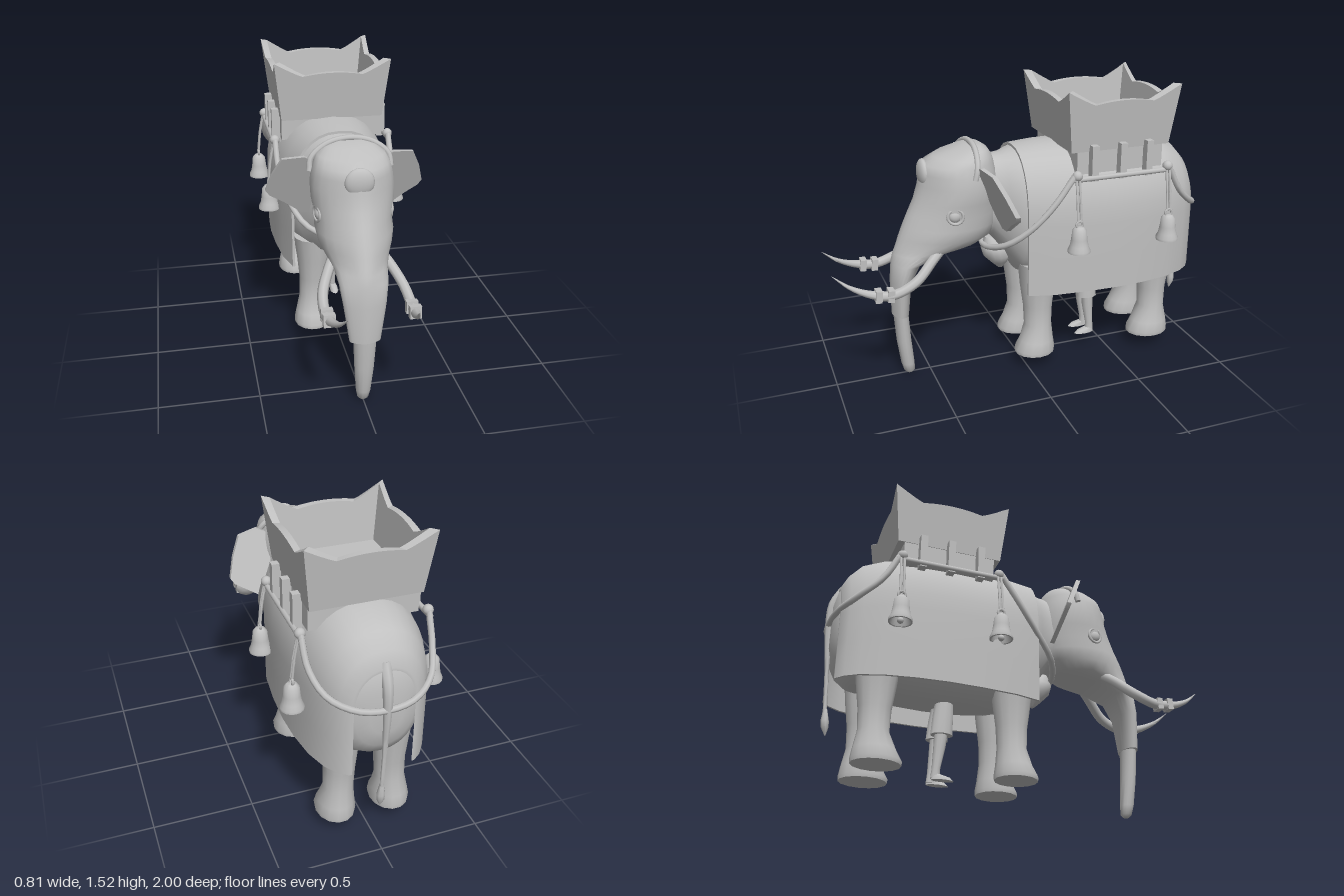
import * as THREE from 'three';
import { toCreasedNormals } from 'three/addons/utils/BufferGeometryUtils.js';

const grey = new THREE.MeshStandardMaterial({ color: 0xc0c0c0 });
grey.name = 'grey';
const V = (x, y, z) => new THREE.Vector3(x, y, z);
const pow = (v, e) => Math.sign(v) * Math.abs(v) ** e;

// Closed skin over a row of rings with equal point counts, capped at both ends
function loft(rings, crease = 0.9) {
  const n = rings[0].length, m = rings.length, pts = rings.flat(), idx = [];
  const quad = (a, b, c, d) => idx.push(a, b, c, a, c, d);
  for (let j = 0; j < m - 1; j++) {
    for (let i = 0; i < n; i++) {
      const k = (i + 1) % n;
      quad(j * n + i, j * n + k, (j + 1) * n + k, (j + 1) * n + i);
    }
  }
  const e = (m - 1) * n;
  for (let i = 0; i < n / 2 - 1; i++) {
    quad(i + 1, i, n - 1 - i, n - 2 - i);
    quad(e + i, e + i + 1, e + n - 2 - i, e + n - 1 - i);
  }
  // Turn the skin outward when its signed volume is negative
  let volume = 0;
  const cross = V(0, 0, 0);
  for (let t = 0; t < idx.length; t += 3) {
    volume += pts[idx[t]].dot(cross.crossVectors(pts[idx[t + 1]], pts[idx[t + 2]]));
  }
  if (volume < 0) idx.reverse();
  const geo = new THREE.BufferGeometry().setFromPoints(pts);
  geo.setIndex(idx);
  return toCreasedNormals(geo, crease);
}

// Vertical limb from sections [y, x, z, halfWidth, halfDepth]; taper narrows the front
function limb(sections, sides = 16, power = 1, taper = 0) {
  return loft(sections.map(([y, x, z, w, d]) => Array.from({ length: sides }, (_, i) => {
    const a = (i / sides) * Math.PI * 2, front = Math.max(0, Math.sin(a));
    return V(x + w * pow(Math.cos(a), power) * (1 - taper * front * front), y, z + d * pow(Math.sin(a), power));
  })));
}

// Tapering tube along a curve; radius is a function of 0..1
function horn(points, radius, steps = 20, sides = 8) {
  const curve = new THREE.CatmullRomCurve3(points.map((p) => V(...p)));
  const f = curve.computeFrenetFrames(steps);
  return loft(Array.from({ length: steps + 1 }, (_, j) => {
    const p = curve.getPointAt(j / steps), r = radius(j / steps);
    return Array.from({ length: sides }, (_, i) => {
      const a = (i / sides) * Math.PI * 2;
      return p.clone().addScaledVector(f.normals[j], r * Math.cos(a)).addScaledVector(f.binormals[j], r * Math.sin(a));
    });
  }));
}

// Body sections: z, top, bottom, half width
const BODY = [
  [0.28, 1.17, 0.78, 0.14], [0.16, 1.165, 0.74, 0.13], [0.09, 1.172, 0.64, 0.165], [0.03, 1.19, 0.53, 0.24],
  [-0.1, 1.198, 0.48, 0.275], [-0.28, 1.2, 0.46, 0.293], [-0.45, 1.2, 0.455, 0.299], [-0.6, 1.195, 0.46, 0.291],
  [-0.75, 1.17, 0.48, 0.268], [-0.86, 1.125, 0.5, 0.23], [-0.92, 1.06, 0.54, 0.188], [-0.955, 0.99, 0.6, 0.143],
  [-0.975, 0.91, 0.68, 0.08],
];

export function createModel() {
  const model = new THREE.Group();
  const add = (name, geo, x = 0, y = 0, z = 0) => {
    const mesh = new THREE.Mesh(geo, grey);
    mesh.name = name;
    mesh.position.set(x, y, z);
    model.add(mesh);
    return mesh;
  };
  const rope = (name, pts, r = 0.013) => add(name, horn(pts, () => r, 28));

  // Body and neck
  add('body', loft(BODY.map(([z, t, b, w]) => Array.from({ length: 28 }, (_, i) => {
    const a = (i / 28) * Math.PI * 2;
    return V(w * pow(Math.cos(a), 0.85), (t + b) / 2 + (t - b) / 2 * pow(Math.sin(a), 0.9), z);
  }))));

  // Cloth draped over the back, hanging straight at the sides
  add('cloth', loft(BODY.slice(3, 12).map(([z, t, b, w]) => {
    const arch = (g) => {
      const yc = (t + b) / 2, p = [V(w + g, 0.465, z), V(w + g, 0.65, z)];
      for (let i = 0; i <= 16; i++) {
        const a = (i / 16) * Math.PI;
        p.push(V((w + g) * pow(Math.cos(a), 0.85), yc + (t + g - yc) * pow(Math.sin(a), 0.9), z));
      }
      return [...p, V(-w - g, 0.65, z), V(-w - g, 0.465, z)];
    };
    return [...arch(0.016), ...arch(0.003).reverse()];
  }), 0.7));

  // Head and upper trunk: y, z back, z front, half width
  add('head', limb([
    [1.235, 0.2, 0.28, 0.07], [1.215, 0.17, 0.34, 0.12], [1.185, 0.15, 0.44, 0.165], [1.155, 0.14, 0.505, 0.182],
    [1.11, 0.13, 0.517, 0.195], [1.05, 0.12, 0.525, 0.203], [0.97, 0.12, 0.55, 0.2], [0.9, 0.12, 0.585, 0.185],
    [0.84, 0.13, 0.612, 0.19], [0.78, 0.15, 0.637, 0.178], [0.735, 0.22, 0.653, 0.155], [0.7, 0.38, 0.668, 0.13],
    [0.65, 0.53, 0.68, 0.12], [0.55, 0.585, 0.69, 0.105], [0.36, 0.605, 0.69, 0.077],
  ].map(([y, b, f, w]) => [y, 0, (b + f) / 2, w, (f - b) / 2]), 28, 0.9, 0.42));
  const bump = add('foreheadBump', new THREE.SphereGeometry(0.08, 20, 12), 0, 1.105, 0.495);
  bump.scale.set(0.9, 0.9, 0.38);
  add('lowerTrunk', limb([
    [0.37, 0, 0.645, 0.058, 0.038], [0.2, 0, 0.635, 0.049, 0.038], [0.06, 0, 0.62, 0.037, 0.035],
    [0.015, 0, 0.613, 0.028, 0.029], [0, 0, 0.611, 0.014, 0.015],
  ], 14));
  rope('headBand', [[-0.2, 1.1, 0.285], [-0.19, 1.16, 0.27], [-0.11, 1.222, 0.255], [0, 1.243, 0.25],
    [0.11, 1.222, 0.255], [0.19, 1.16, 0.27], [0.2, 1.1, 0.285]], 0.015);

  const EAR = [[0.17, 1.14], [0.22, 1.165], [0.325, 1.15], [0.37, 1.06], [0.4, 0.96], [0.38, 0.93],
    [0.31, 0.89], [0.22, 0.825], [0.185, 0.83], [0.17, 0.9], [0.165, 1.0], [0.16, 1.08]];
  const leg = (z, s, foot) => limb([
    [0.6, s * 0.135, z, 0.1, 0.11], [0.47, s * 0.13, z, 0.088, 0.096], [0.35, s * 0.13, z, 0.077, 0.079],
    [0.24, s * 0.134, z, 0.075, 0.074], [0.15, s * 0.14, z + 0.01, 0.09, foot - 0.018],
    [0.1, s * 0.142, z + 0.02, 0.1, foot], [0.08, s * 0.142, z + 0.02, 0.097, foot - 0.002],
  ], 14);
  const bellShape = [[0, 0.135], [0.022, 0.132], [0.036, 0.115], [0.041, 0.07], [0.047, 0.035], [0.058, 0.012],
    [0.058, 0], [0.05, 0], [0.038, 0.04], [0.03, 0.1], [0, 0.115]].map(([x, y]) => new THREE.Vector2(x, y));
  const bellGeo = toCreasedNormals(new THREE.LatheGeometry(bellShape.reverse(), 16), 0.8);

  for (const s of [1, -1]) {
    const side = s > 0 ? 'left' : 'right';
    // Thin ear leaning back toward its lower and outer edges
    add(side + 'Ear', loft([0, 0.024].map((d) => EAR.map(([x, y]) =>
      V(s * x, y, 0.25 - (1.165 - y) * 0.39 - (x - 0.2) * 0.21 + d))), 0.6));
    // Eye with a raised rim
    const eye = add(side + 'Eye', new THREE.SphereGeometry(0.032, 16, 10), s * 0.172, 0.92, 0.385);
    eye.scale.x = 0.7;
    const rim = add(side + 'EyeRim', new THREE.TorusGeometry(0.038, 0.008, 8, 20), s * 0.182, 0.92, 0.385);
    rim.rotation.y = s * 1.35;
    // Tusk and its two bands
    const path = [[0.1, 0.74, 0.43], [0.145, 0.69, 0.5], [0.195, 0.61, 0.6], [0.205, 0.565, 0.72],
      [0.195, 0.58, 0.82], [0.175, 0.625, 0.92], [0.155, 0.69, 1.0]].map(([x, y, z]) => [s * x, y, z]);
    add(side + 'Tusk', horn(path, (t) => (t < 0.6 ? 0.026 : 0.026 * (1 - (t - 0.6) / 0.4) + 0.001), 28));
    for (const [y, z] of [[0.567, 0.73], [0.573, 0.79]]) {
      const band = add(side + 'TuskBand', new THREE.BoxGeometry(0.056, 0.06, 0.032), s * 0.2, y, z);
      band.rotation.x = -0.1;
    }
    add(side + 'FrontLeg', leg(-0.07, s, 0.11));
    add(side + 'BackLeg', leg(-0.752, s, 0.12));

    // Side rail with posts
    const rail = add(side + 'Rail', new THREE.CylinderGeometry(0.014, 0.014, 0.56, 8), s * 0.305, 1.08, -0.455);
    rail.rotation.x = Math.PI / 2;
    for (const z of [-0.3, -0.455, -0.6]) {
      add(side + 'RailPost', new THREE.BoxGeometry(0.045, 0.18, 0.036), s * 0.286, 1.152, z);
    }
    // Hanging bells
    for (const z of [-0.205, -0.705]) {
      add(side + 'RailKnob', new THREE.SphereGeometry(0.026, 12, 8), s * 0.305, 1.1, z);
      for (const d of [-0.008, 0.008]) {
        rope(side + 'BellRope', [[s * 0.31, 1.1, z + d], [s * 0.333, 0.98, z + d], [s * 0.345, 0.87, z + d]], 0.007);
      }
      const ring = add(side + 'BellRing', new THREE.TorusGeometry(0.018, 0.007, 6, 14), s * 0.345, 0.86, z);
      ring.rotation.y = Math.PI / 2;
      add(side + 'Bell', bellGeo, s * 0.345, 0.715, z);
      add(side + 'BellClapper', new THREE.SphereGeometry(0.016, 10, 8), s * 0.345, 0.722, z);
      add(side + 'BellClapperRod', new THREE.CylinderGeometry(0.005, 0.005, 0.1, 6), s * 0.345, 0.78, z);
    }

    // Attendant's legs and feet under the belly
    add(side + 'AttendantLeg', limb([[0.34, s * 0.04, -0.4, 0.028, 0.034], [0.24, s * 0.04, -0.407, 0.026, 0.03],
      [0.13, s * 0.04, -0.42, 0.018, 0.021], [0.08, s * 0.04, -0.422, 0.02, 0.024]], 10));
    add(side + 'AttendantFoot', limb([[0.1, s * 0.042, -0.415, 0.016, 0.022], [0.088, s * 0.045, -0.395, 0.021, 0.047],
      [0.072, s * 0.045, -0.388, 0.024, 0.057]], 12));
    add(side + 'AttendantShorts', limb([[0.48, s * 0.03, -0.39, 0.045, 0.045], [0.4, s * 0.038, -0.395, 0.041, 0.052],
      [0.3, s * 0.042, -0.4, 0.04, 0.056]], 12));
  }

  // Ropes around chest and rump
  const chest = [[0.305, 1.1, -0.19], [0.3, 0.96, -0.09], [0.262, 0.83, 0.02], [0.18, 0.73, 0.13]];
  const rump = [[0.305, 1.1, -0.715], [0.295, 0.96, -0.79], [0.245, 0.87, -0.89], [0.135, 0.825, -0.967]];
  const around = (half, mid) => [...half, mid, ...half.map(([x, y, z]) => [-x, y, z]).reverse()];
  rope('chestRope', around(chest, [0, 0.68, 0.19]), 0.016);
  rope('rumpRope', around(rump, [0, 0.81, -0.985]), 0.016);
  add('chestPendant', limb([[0.72, 0, 0.15, 0.03, 0.03], [0.66, 0, 0.125, 0.07, 0.075], [0.61, 0, 0.11, 0.07, 0.075],
    [0.57, 0, 0.1, 0.04, 0.045], [0.535, 0, 0.095, 0.012, 0.012]], 14));

  // Tail with tuft
  add('tail', horn([[0, 1.02, -0.92], [0, 0.93, -0.968], [0, 0.8, -0.98], [0, 0.58, -0.972], [0, 0.34, -0.96]],
    (t) => 0.032 - 0.022 * Math.min(1, t * 1.4)));
  add('tailTuft', limb([[0.37, 0, -0.96, 0.01, 0.01], [0.31, 0, -0.957, 0.022, 0.02], [0.28, 0, -0.955, 0.02, 0.018],
    [0.24, 0, -0.95, 0.003, 0.003]], 8));

  // Carriage on the back: base, floor and four flaring walls, mitred, with scalloped tops
  add('saddleBase', new THREE.BoxGeometry(0.53, 0.12, 0.47), 0, 1.152, -0.455);
  add('carriageFloor', new THREE.BoxGeometry(0.52, 0.03, 0.52), 0, 1.223, -0.455);
  const wallGeo = loft(Array.from({ length: 31 }, (_, i) => {
    const u = i / 15 - 1, a = Math.abs(u);
    const h = a < 0.53 ? 0.25 - 0.015 * (a / 0.53) ** 2 : 0.235 + 0.075 * ((a - 0.53) / 0.47) ** 1.15;
    const at = (y, inset) => {
      const out = 0.268 + 0.114 * y - inset;
      return V(u * out, y, out);
    };
    return [at(0, 0), at(h, 0), at(h, 0.032), at(0, 0.032)];
  }), 0.5);
  ['Front', 'Left', 'Back', 'Right'].forEach((side, i) => {
    add('carriage' + side, wallGeo, 0, 1.207, -0.455).rotation.y = (i * Math.PI) / 2;
  });
  return model;
}
